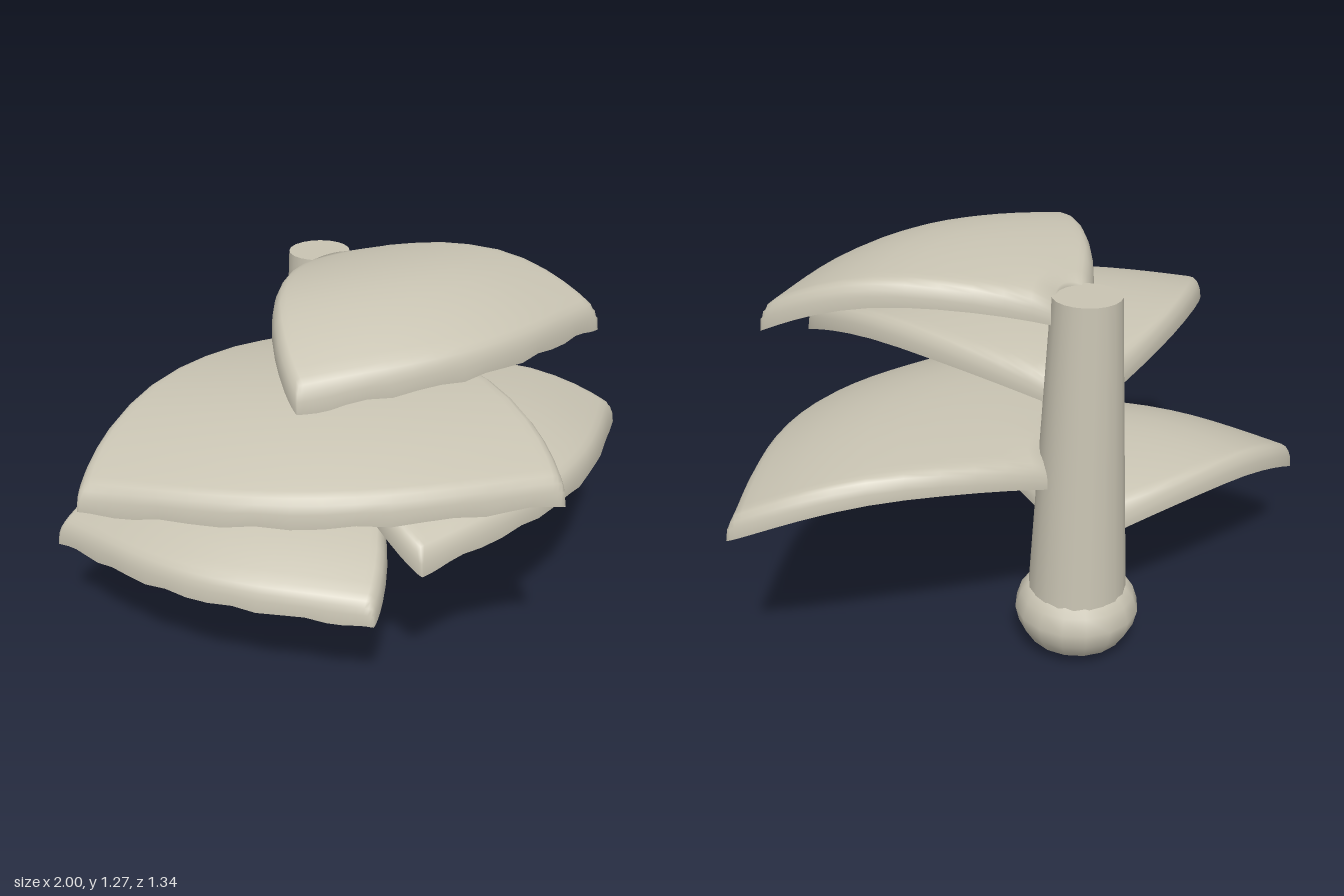
import * as THREE from 'three';
import { mergeVertices } from 'three/addons/utils/BufferGeometryUtils.js';

const STEM = { x: -0.015, z: -0.505 };
const RAD = Math.PI / 180;
const THICK = 0.07;
const ROUND = 0.035;

// Each cap fans out from the stem: crest height, direction and half spread
// (degrees, from +z towards +x), reach.
const CAPS = [
  { name: 'topCap', crest: 1.27, dir: 16.5, spread: 36.5, reach: 0.905 },
  { name: 'upperRightCap', crest: 0.995, dir: -16, spread: 34.7, reach: 1.175 },
  { name: 'lowerLeftCap', crest: 0.762, dir: 36.8, spread: 36.8, reach: 0.998 },
  { name: 'bottomRightCap', crest: 0.555, dir: -43.5, spread: 36, reach: 0.942 },
];

const T_STEPS = [0, 0.08, 0.17, 0.27, 0.38, 0.49, 0.6, 0.7, 0.79, 0.86, 0.92, 0.955, 0.975, 0.987, 0.995, 1];
const HALF = [0.13, 0.27, 0.4, 0.53, 0.66, 0.77, 0.85, 0.91, 0.945, 0.965, 0.982, 0.993, 1];
const U_STEPS = [...HALF.map((v) => -v).reverse(), 0, ...HALF];

// Point on a cap: t runs from stem to rim, u from one side to the other.
function capPoint(cap, t, u, under) {
  const half = (cap.spread + 20 * Math.pow(1 - t, 0.8)) * RAD;
  const reach = cap.reach + 0.06 * Math.pow(u, 4);
  const r = 0.09 + (reach - 0.09) * t;
  const a = cap.dir * RAD + u * half;
  const k = t - 0.49;
  let y = cap.crest - (k < 0 ? 0.27 : 0.52) * k * k - 0.03 * u * u;

  // the underside is slightly thinner inside; the upper edge rolls over the rim
  const d = Math.min((1 - t) * cap.reach, (1 - Math.abs(u)) * half * r);
  const thick = THICK + 0.006 * Math.sin(u * 17 + cap.dir) * t;
  if (under) {
    y -= thick - 0.012 * THREE.MathUtils.smoothstep(d, 0, 0.08);
  } else if (d < ROUND) {
    const e = 1 - d / ROUND;
    y -= thick * (1 - Math.sqrt(Math.max(0, 1 - e * e)));
  }
  return new THREE.Vector3(STEM.x + Math.sin(a) * r, y, STEM.z + Math.cos(a) * r);
}

// Closed shell: upper and under surfaces meet along the rim.
function capGeometry(cap) {
  const pos = [];
  const index = [];
  const cols = U_STEPS.length;
  const layer = T_STEPS.length * cols;
  for (const under of [false, true]) {
    const base = under ? layer : 0;
    for (const t of T_STEPS) {
      for (const u of U_STEPS) pos.push(...capPoint(cap, t, u, under).toArray());
    }
    for (let i = 0; i < T_STEPS.length - 1; i++) {
      for (let j = 0; j < cols - 1; j++) {
        const a = base + i * cols + j;
        const b = a + cols;
        if (under) index.push(a, a + 1, b, b, a + 1, b + 1);
        else index.push(a, b, a + 1, b, b + 1, a + 1);
      }
    }
  }
  // end wall at the stem
  for (let j = 0; j < cols - 1; j++) {
    const b = j + layer;
    index.push(j, j + 1, b, b, j + 1, b + 1);
  }
  let geo = new THREE.BufferGeometry();
  geo.setAttribute('position', new THREE.Float32BufferAttribute(pos, 3));
  geo.setIndex(index);
  geo = mergeVertices(geo, 1e-4);
  geo.computeVertexNormals();
  return geo;
}

// Thin ridge running along the underside from stem to rim.
function gillGeometry(cap, u) {
  const pts = [];
  for (let i = 0; i <= 8; i++) {
    const p = capPoint(cap, 0.05 + 0.94 * (i / 8), u, true);
    p.y -= 0.002;
    pts.push(p);
  }
  return new THREE.TubeGeometry(new THREE.CatmullRomCurve3(pts), 16, 0.006, 4);
}

export function createModel() {
  const model = new THREE.Group();
  model.name = 'bracketFungus';
  const flesh = new THREE.MeshStandardMaterial({ color: 0xc8c3b2 });
  flesh.name = 'paleFlesh';

  const add = (parent, name, geo) => {
    const mesh = new THREE.Mesh(geo, flesh);
    mesh.name = name;
    parent.add(mesh);
    return mesh;
  };

  // Tapered stem, leaning back very slightly
  const stemGeo = new THREE.CylinderGeometry(0.102, 0.153, 0.99, 20, 1);
  const p = stemGeo.attributes.position;
  for (let i = 0; i < p.count; i++) {
    const top = p.getY(i) > 0;
    p.setX(i, p.getX(i) + (top ? -0.015 : -0.022));
    p.setZ(i, p.getZ(i) + (top ? -0.502 : -0.482));
  }
  add(model, 'stem', stemGeo).position.y = 0.695;

  // Rounded bulb at the foot
  const bulbProfile = [
    [0, 0.002], [0.09, 0.012], [0.15, 0.05], [0.182, 0.1], [0.194, 0.15],
    [0.178, 0.2], [0.15, 0.234], [0.1, 0.245], [0, 0.245],
  ].map(([x, y]) => new THREE.Vector2(x, y));
  add(model, 'bulb', new THREE.LatheGeometry(bulbProfile, 16)).position.set(-0.025, 0, -0.477);

  // Fan-shaped caps with gills beneath
  for (const cap of CAPS) {
    const group = new THREE.Group();
    group.name = cap.name;
    add(group, 'capShell', capGeometry(cap));
    for (let i = 0; i < 10; i++) {
      add(group, 'gill', gillGeometry(cap, -0.86 + (1.72 * i) / 9));
    }
    model.add(group);
  }
  return model;
}
